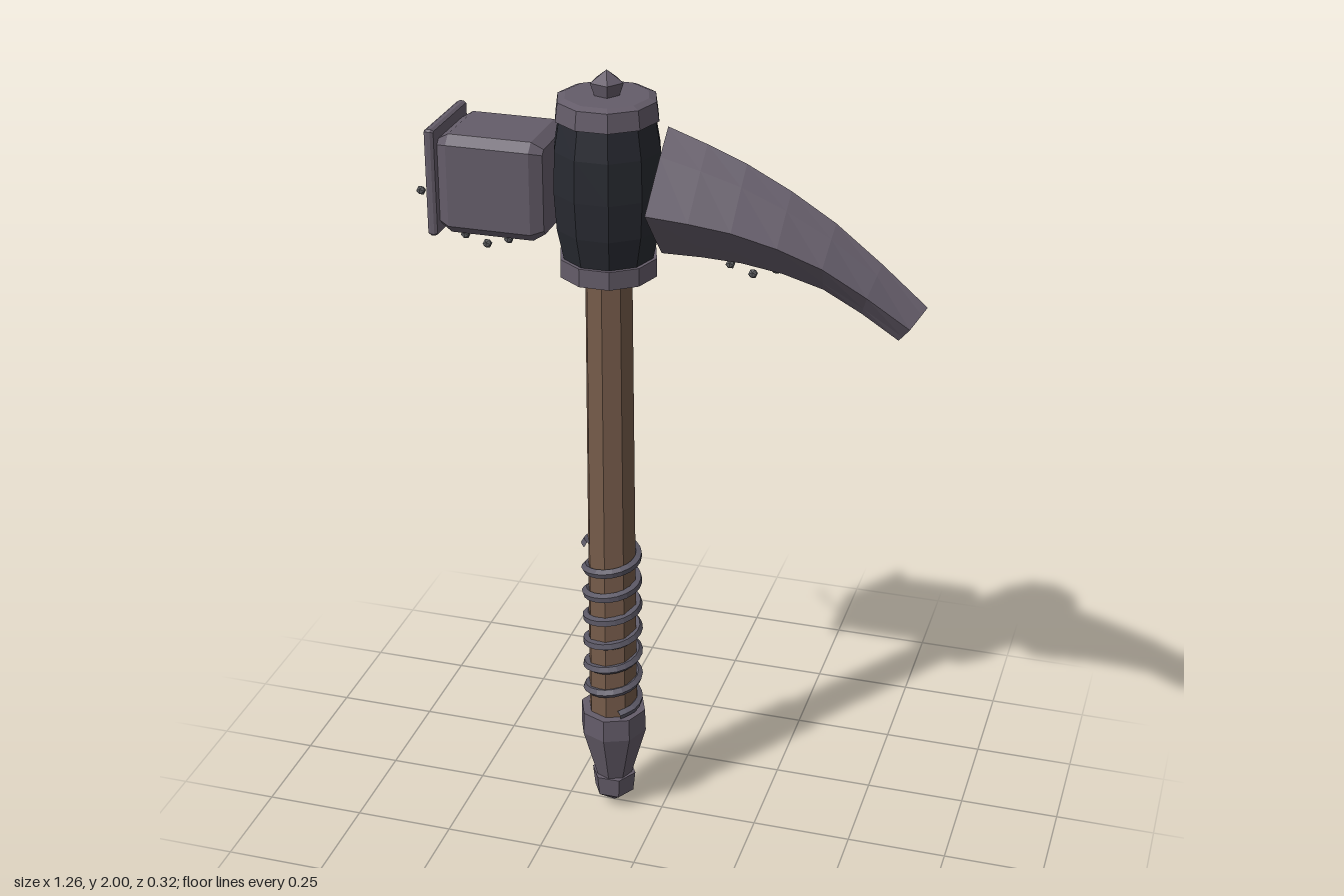
import * as THREE from 'three';

const AXIS = -0.13; // x of the handle

const material = (name, color) => {
  const m = new THREE.MeshStandardMaterial({ color });
  m.name = name;
  return m;
};

// Faceted normals for a low-poly look
function faceted(geometry) {
  const g = geometry.index ? geometry.toNonIndexed() : geometry;
  g.computeVertexNormals();
  return g;
}

// Turned part around the handle axis, profile as [radius, y] from bottom to top
function turned(profile, sides) {
  const points = profile.map(([r, y]) => new THREE.Vector2(r, y));
  return faceted(new THREE.LatheGeometry(points, sides)).rotateY(Math.PI / 2).translate(AXIS, 0, 0);
}

// Block with all edges chamfered, running along x from x0 to x1
function chamferedBlock(x0, x1, y, halfY, halfZ, c) {
  const a = halfZ - c, b = halfY - c, k = c * 0.4;
  const shape = new THREE.Shape([
    [a, -b - k], [a + k, -b], [a + k, b], [a, b + k], [-a, b + k], [-a - k, b], [-a - k, -b], [-a, -b - k],
  ].map(([u, v]) => new THREE.Vector2(u, v)));
  const g = new THREE.ExtrudeGeometry(shape, {
    depth: x1 - x0 - 2 * c, bevelEnabled: true, bevelThickness: c, bevelSize: c - k, bevelSegments: 1,
  });
  return faceted(g).rotateY(Math.PI / 2).translate(x0 + c, y, 0);
}

// Curved spike: star-like sections between a top and a bottom edge
function spikeGeometry() {
  const top = new THREE.CatmullRomCurve3([[0.015, 1.88], [0.2, 1.81], [0.41, 1.69], [0.628, 1.51]]
    .map(([x, y]) => new THREE.Vector3(x, y, 0)));
  const bottom = new THREE.CatmullRomCurve3([[0, 1.57], [0.19, 1.567], [0.385, 1.525], [0.565, 1.42]]
    .map(([x, y]) => new THREE.Vector3(x, y, 0)));
  const half = [[0, 0], [0.17, 0.36], [0.51, 1], [0.83, 0.36], [1, 0]];
  const section = [...half, ...half.slice(1, 4).reverse().map(([f, w]) => [f, -w])];
  const steps = 6, n = section.length, positions = [], index = [];
  for (let i = 0; i <= steps; i++) {
    const t = i / steps, a = top.getPoint(t), b = bottom.getPoint(t);
    const width = 0.162 + (0.033 - 0.162) * t;
    for (const [f, w] of section) {
      const p = a.clone().lerp(b, f);
      positions.push(p.x, p.y, w * width);
    }
  }
  for (let i = 0; i < steps; i++) {
    for (let j = 0; j < n; j++) {
      const k = (j + 1) % n, a = i * n + j, b = i * n + k;
      index.push(a, b, b + n, a, b + n, a + n);
    }
  }
  // End caps, fanned from a centre point
  for (const [i, flip] of [[0, true], [steps, false]]) {
    const c = positions.length / 3;
    const m = top.getPoint(i / steps).lerp(bottom.getPoint(i / steps), 0.5);
    positions.push(m.x, m.y, 0);
    for (let j = 0; j < n; j++) {
      const a = i * n + j, b = i * n + (j + 1) % n;
      index.push(c, ...(flip ? [b, a] : [a, b]));
    }
  }
  const g = new THREE.BufferGeometry();
  g.setAttribute('position', new THREE.Float32BufferAttribute(positions, 3));
  g.setIndex(index);
  return faceted(g);
}

// Cord wound up the grip
function wrapGeometry() {
  const turns = 6.8, perTurn = 10, points = [];
  for (let i = 0; i <= turns * perTurn; i++) {
    const a = (i / perTurn) * Math.PI * 2 + 0.5;
    points.push(new THREE.Vector3(AXIS + 0.065 * Math.sin(a), 0.31 + 0.07 * i / perTurn, 0.065 * Math.cos(a)));
  }
  return faceted(new THREE.TubeGeometry(new THREE.CatmullRomCurve3(points), 140, 0.012, 5));
}

export function createModel() {
  const model = new THREE.Group();
  model.name = 'warHammer';
  const steel = material('steel', 0x645c69);
  const darkIron = material('darkIron', 0x282a31);
  const wood = material('wood', 0x755b4a);
  const cord = material('cord', 0x5b5865);
  const stud = material('stud', 0x5c5d60);

  const add = (name, geometry, mat, parent = model) => {
    const mesh = new THREE.Mesh(geometry, mat);
    mesh.name = name;
    parent.add(mesh);
    return mesh;
  };

  // Handle
  add('shaft', turned([[0, 0.25], [0.064, 0.25], [0.058, 1.54], [0, 1.54]], 8), wood);
  add('gripWrap', wrapGeometry(), cord);
  add('pommel', turned([[0, 0.3], [0.085, 0.3]].reverse().length
    ? [[0, 0.09], [0.045, 0.09], [0.087, 0.24], [0.085, 0.3], [0, 0.3]] : [], 8), steel);
  add('pommelTip', turned([[0, 0.005], [0.052, 0.045], [0.058, 0.1], [0, 0.105]], 6), steel);

  // Head core with collars and finial
  add('lowerCollar', turned([[0, 1.51], [0.118, 1.51], [0.118, 1.555], [0, 1.555]], 10), steel);
  add('barrel', turned([[0, 1.55], [0.108, 1.55], [0.125, 1.63], [0.131, 1.72], [0.128, 1.82], [0.115, 1.895], [0, 1.895]], 10), darkIron);
  add('upperCollar', turned([[0, 1.89], [0.124, 1.89], [0.118, 1.935], [0.1, 1.942], [0, 1.942]], 10), steel);
  add('finial', turned([[0, 1.935], [0.028, 1.935], [0.04, 1.972], [0, 2]], 5), steel);

  // Hammer side and spike side
  add('hammerBlock', chamferedBlock(-0.515, -0.258, 1.72, 0.12, 0.104, 0.028), steel);
  add('strikingPlate', chamferedBlock(-0.536, -0.513, 1.725, 0.13, 0.112, 0.007), steel);
  add('spike', spikeGeometry(), steel);

  // Two arcs of small studs behind the head
  const studs = new THREE.Group();
  studs.name = 'studs';
  model.add(studs);
  const studGeometry = faceted(new THREE.IcosahedronGeometry(0.012, 0));
  const rise = [0, 0.018, 0.06, 0.118];
  for (const centre of [-0.46, 0.2]) {
    for (let i = -3; i <= 3; i++) {
      add('stud', studGeometry, stud, studs).position.set(centre + i * 0.055, 1.512 + rise[Math.abs(i)], -0.075);
    }
  }
  return model;
}
